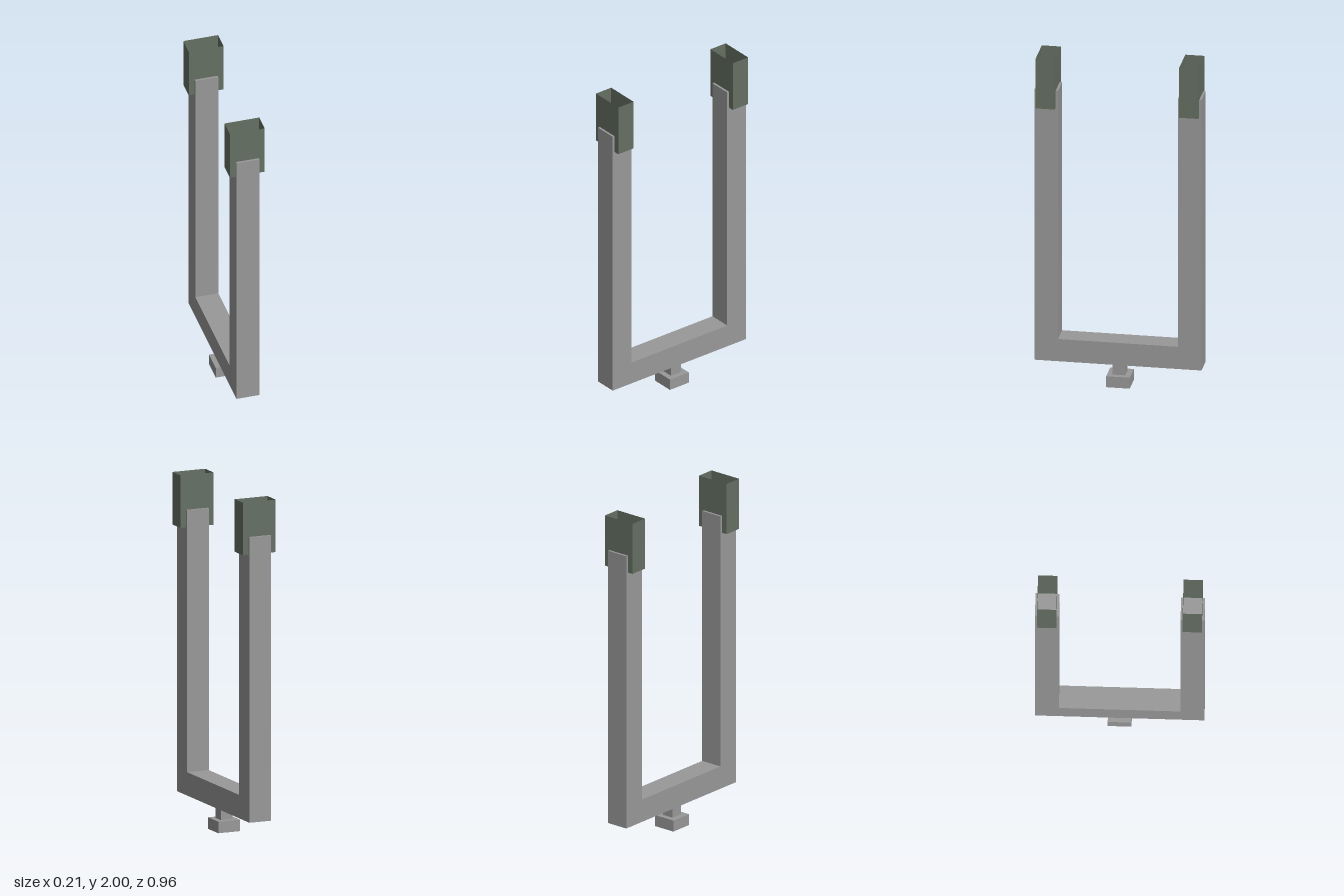
import * as THREE from 'three';

export function createModel() {
  const model = new THREE.Group();
  const steel = new THREE.MeshStandardMaterial({ color: 0x999999 });
  steel.name = 'grey steel';
  const green = new THREE.MeshStandardMaterial({ color: 0x667064, side: THREE.DoubleSide });
  green.name = 'dark green';

  const add = (name, geometry, material, x, y, z) => {
    const mesh = new THREE.Mesh(geometry, material);
    mesh.name = name;
    mesh.position.set(x, y, z);
    model.add(mesh);
    return mesh;
  };

  // U-shaped fork: outline drawn in the side plane, extruded across the width
  const half = 0.068, outer = 0.482, inner = 0.346;
  const bottom = 0.14, floor = 0.276, top = 1.798;
  const outline = new THREE.Shape([
    [-outer, bottom], [outer, bottom], [outer, top], [inner, top],
    [inner, floor], [-inner, floor], [-inner, top], [-outer, top],
  ].map(([z, y]) => new THREE.Vector2(z, y)));
  const forkGeometry = new THREE.ExtrudeGeometry(outline, { depth: half * 2, bevelEnabled: false });
  forkGeometry.translate(0, 0, -half).rotateY(-Math.PI / 2);
  add('fork', forkGeometry, steel, 0, 0, 0);

  // Pivot stem and foot under the fork
  add('pivotStem', new THREE.BoxGeometry(0.072, 0.074, 0.072), steel, 0, 0.103, 0);
  add('pivotFoot', new THREE.BoxGeometry(half * 2, 0.067, half * 2), steel, 0, 0.0335, 0);

  // Thin-walled sockets, open at the top, on the two arm ends
  for (const side of [1, -1]) {
    const socket = new THREE.BoxGeometry(0.206, 0.305, 0.11);
    const index = Array.from(socket.index.array);
    index.splice(12, 6); // remove the top face
    socket.setIndex(index);
    socket.clearGroups();
    add(side > 0 ? 'frontSocket' : 'backSocket', socket, green, 0, 1.8475, side * 0.414);
  }

  return model;
}
